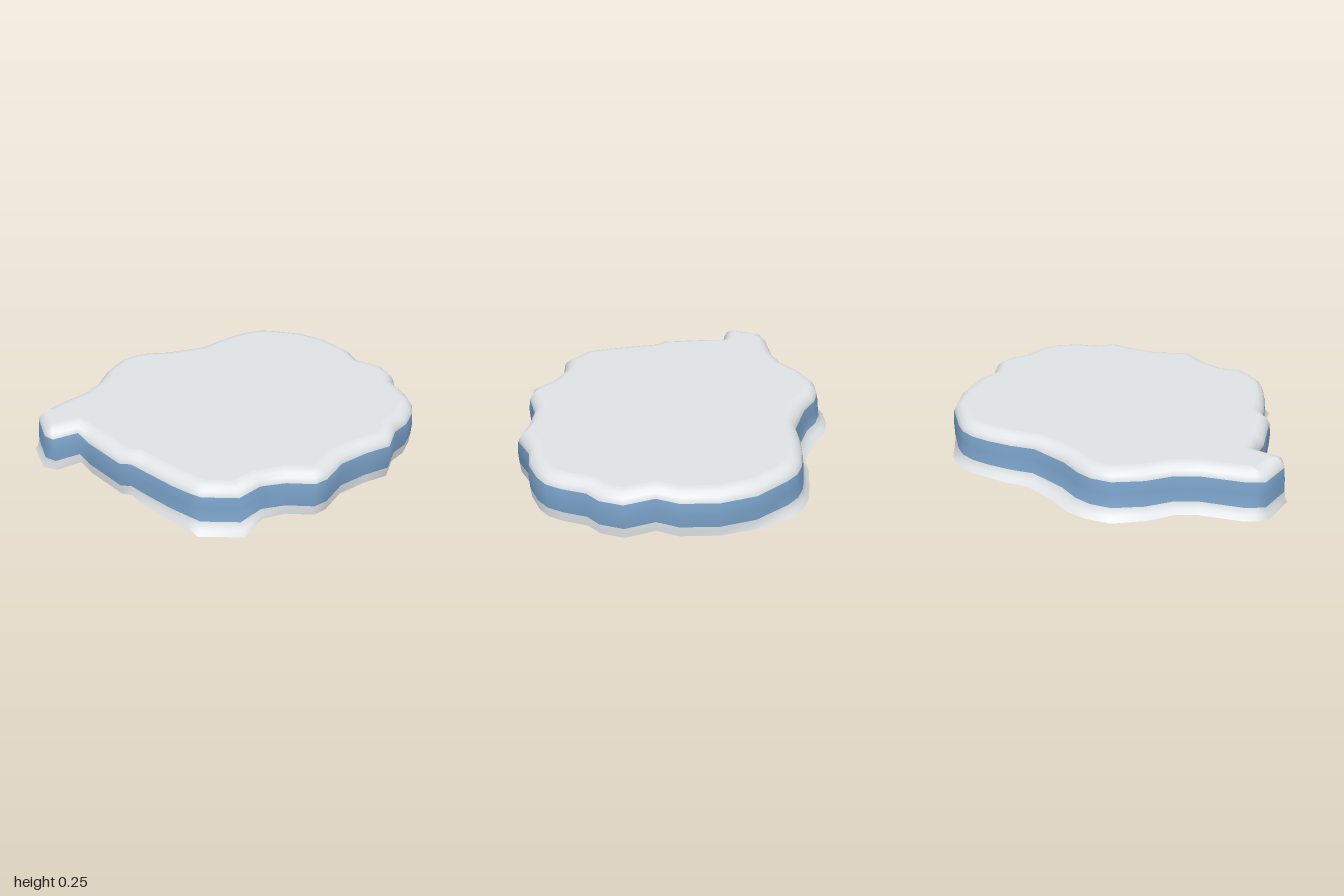
import * as THREE from 'three';

// Base outline, running back -> left -> front -> right: x, z, how far the wall steps in above the base
const OUTLINE = [
  [-0.29, -0.97, 0.01], [-0.49, -0.89, 0.05], [-0.57, -0.82, 0.05], [-0.62, -0.73, 0.05], [-0.65, -0.62, 0.05],
  [-0.68, -0.48, 0.06], [-0.69, -0.36, 0.07], [-0.79, -0.18, 0.08], [-0.87, -0.08, 0.08], [-0.91, 0.03, 0.07],
  [-0.92, 0.17, 0.07], [-0.85, 0.34, 0.06], [-0.76, 0.46, 0.05], [-0.73, 0.57, 0.05], [-0.73, 0.80, 0.05],
  [-0.71, 0.87, 0.05], [-0.67, 0.93, 0.04], [-0.48, 1.0, 0.03], [-0.40, 0.96, 0.01], [-0.37, 0.82, 0],
  [-0.25, 0.84, 0], [0.02, 0.84, 0], [0.07, 0.81, 0.01], [0.18, 0.82, 0.03], [0.37, 0.80, 0.03],
  [0.47, 0.78, 0.03], [0.57, 0.79, 0.07], [0.74, 0.62, 0.07], [0.70, 0.45, 0.02], [0.75, 0.34, 0],
  [0.86, 0.24, 0], [0.875, 0.16, 0], [0.84, 0, 0], [0.87, -0.17, 0], [0.915, -0.31, 0],
  [0.85, -0.45, 0], [0.845, -0.56, 0], [0.80, -0.68, 0], [0.75, -0.75, 0], [0.67, -0.80, 0],
  [0.55, -0.85, 0], [0.49, -0.92, 0], [0.37, -0.97, 0], [0.21, -0.93, 0], [0.10, -0.985, 0], [-0.10, -1.0, 0],
];

// Wall profile: height, share of the step taken, extra inset
const PROFILE = [
  [0, 0, 0.008], [0.025, 0.4, 0.006], [0.058, 0.8, 0.003], [0.13, 1, 0], [0.195, 1, 0.008],
  [0.222, 1, 0.022], [0.241, 1, 0.045], [0.248, 1, 0.065], [0.25, 1, 0.085],
];

// One closed ring of the wall, moved inwards from the base outline
function ring([y, share, inset]) {
  const n = OUTLINE.length;
  return OUTLINE.map(([x, z, step], i) => {
    const a = OUTLINE[(i + n - 1) % n], b = OUTLINE[(i + 1) % n];
    const tx = b[0] - a[0], tz = b[1] - a[1], len = Math.hypot(tx, tz);
    const d = step * share + inset;
    return new THREE.Vector3(x + tz / len * d, y, z - tx / len * d);
  });
}

export function createModel() {
  const model = new THREE.Group();
  model.name = 'iceFloe';
  const snow = new THREE.MeshStandardMaterial({ color: 0xe0e4e7, side: THREE.DoubleSide });
  snow.name = 'snow white';
  const ice = new THREE.MeshStandardMaterial({ color: 0x789fc5, side: THREE.DoubleSide });
  ice.name = 'ice blue';

  // Rim: white foot, blue band and white rounded shoulder in one smooth skin
  const rings = PROFILE.map(ring);
  const n = OUTLINE.length;
  const index = [];
  const rim = new THREE.BufferGeometry().setFromPoints(rings.flat());
  for (let r = 0; r < rings.length - 1; r++) {
    for (let i = 0; i < n; i++) {
      const j = (i + 1) % n;
      const a = r * n + i, b = r * n + j, c = b + n, d = a + n;
      index.push(a, b, c, a, c, d);
    }
    rim.addGroup(r * n * 6, n * 6, r === 2 || r === 3 ? 1 : 0);
  }
  rim.setIndex(index);
  rim.computeVertexNormals();
  const rimMesh = new THREE.Mesh(rim, [snow, ice]);
  rimMesh.name = 'rim';
  model.add(rimMesh);

  // Flat snowy top closing the shoulder; the underside stays open
  const top = rings[rings.length - 1].map((p) => new THREE.Vector2(p.x, -p.z));
  const cap = new THREE.ShapeGeometry(new THREE.Shape(top));
  cap.rotateX(-Math.PI / 2).translate(0, 0.25, 0);
  const capMesh = new THREE.Mesh(cap, snow);
  capMesh.name = 'topSurface';
  model.add(capMesh);

  return model;
}
